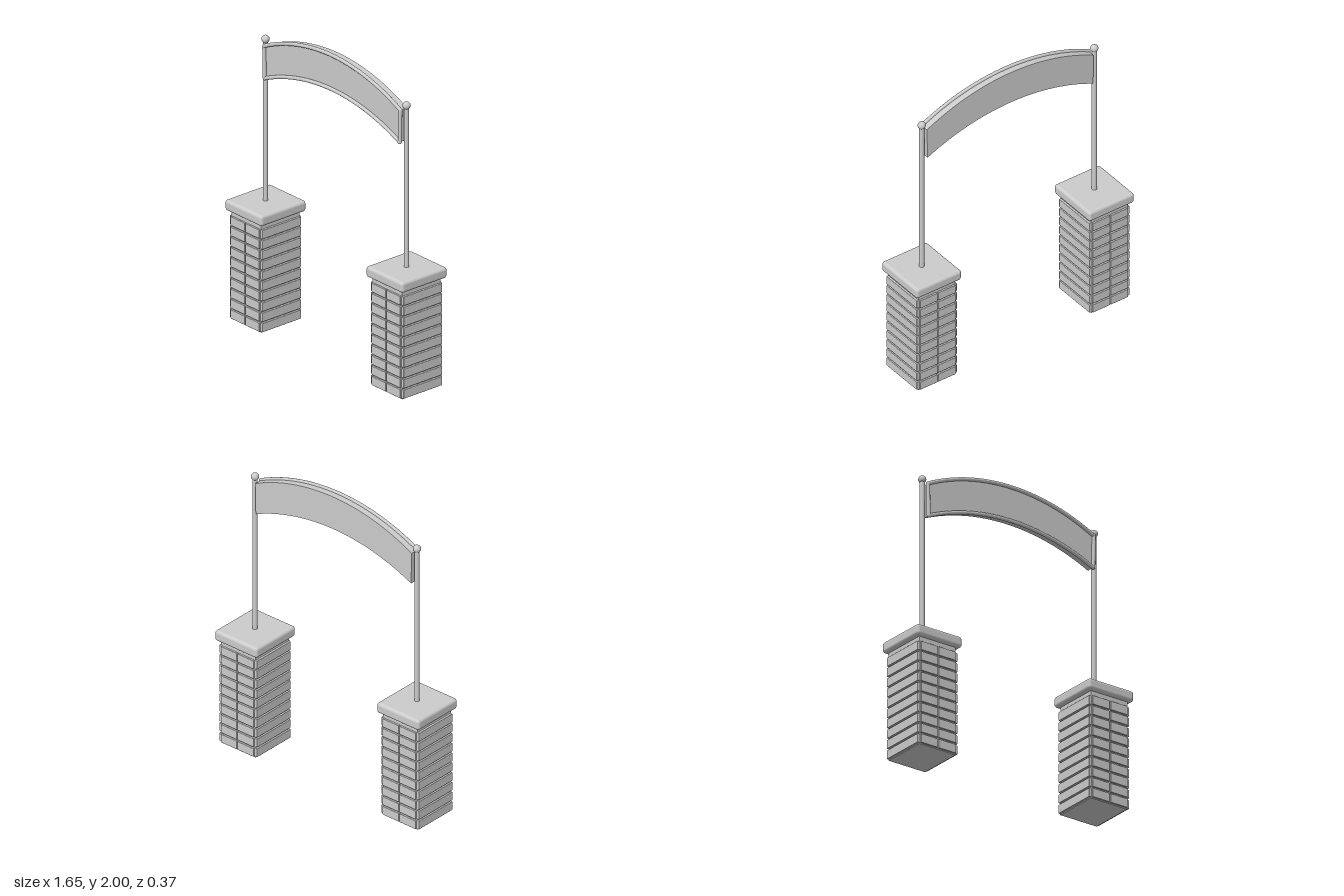
import * as THREE from 'three';
import { RoundedBoxGeometry } from 'three/addons/geometries/RoundedBoxGeometry.js';

const stone = new THREE.MeshStandardMaterial({ color: 0xcccccc });
stone.name = 'light grey';

function add(parent, name, geometry, x = 0, y = 0, z = 0) {
  const mesh = new THREE.Mesh(geometry, stone);
  mesh.name = name;
  mesh.position.set(x, y, z);
  parent.add(mesh);
  return mesh;
}

// Points of a circular arc over the half-width, with its crown at height top
function arcPoints(half, top, sag, steps = 32) {
  const radius = (half * half + sag * sag) / (2 * sag);
  const limit = Math.asin(half / radius);
  return Array.from({ length: steps + 1 }, (_, i) => {
    const a = -limit + (2 * limit * i) / steps;
    return new THREE.Vector3(radius * Math.sin(a), top - radius * (1 - Math.cos(a)), 0);
  });
}

// Brick pillar with a rounded cap stone, a pole and a ball finial
function createPillar() {
  const pillar = new THREE.Group();
  add(pillar, 'pillarCore', new THREE.BoxGeometry(0.276, 0.73, 0.31), 0, 0.365, 0);

  const rows = 10, pitch = 0.069, height = 0.06;
  const frontBrick = new RoundedBoxGeometry(0.13, height, 0.03, 1, 0.004);
  const sideBrick = new RoundedBoxGeometry(0.03, height, 0.312, 1, 0.004);
  for (let i = 0; i < rows; i++) {
    const y = 0.036 + i * pitch;
    for (const s of [-1, 1]) {
      add(pillar, 'sideBrick', sideBrick, s * 0.137, y, 0);
      for (const column of [-1, 1]) {
        add(pillar, 'frontBrick', frontBrick, column * 0.068, y, s * 0.152);
      }
    }
  }

  add(pillar, 'capStone', new RoundedBoxGeometry(0.342, 0.072, 0.366, 4, 0.02), 0, 0.756, 0);
  add(pillar, 'pole', new THREE.CylinderGeometry(0.016, 0.016, 1.08, 24), 0, 1.32, 0);
  add(pillar, 'finial', new THREE.SphereGeometry(0.025, 24, 16), 0, 1.867, 0);
  return pillar;
}

// Arched sign panel with a rounded frame standing proud of its front
function createSign() {
  const sign = new THREE.Group();
  const upper = arcPoints(0.63, 1.987, 0.151);
  const lower = arcPoints(0.625, 1.76, 0.139);

  const outline = new THREE.Shape([...upper, ...lower.slice().reverse()]
    .map((p) => new THREE.Vector2(p.x, p.y)));
  const panel = new THREE.ExtrudeGeometry(outline, { depth: 0.048, bevelEnabled: false });
  add(sign, 'signPanel', panel, 0, 0, -0.024);

  const r = 0.012, z = 0.03;
  const rail = (name, points, steps) => add(sign, name,
    new THREE.TubeGeometry(new THREE.CatmullRomCurve3(points), steps, r, 12), 0, 0, z);
  rail('topRail', upper, 64);
  rail('bottomRail', lower, 64);
  for (const i of [0, upper.length - 1]) {
    rail('endRail', [upper[i], lower[i]], 1);
    for (const p of [upper[i], lower[i]]) {
      add(sign, 'frameCorner', new THREE.SphereGeometry(r, 12, 8), p.x, p.y, z);
    }
  }
  return sign;
}

export function createModel() {
  const model = new THREE.Group();
  model.name = 'archedGateway';
  for (const side of [-1, 1]) {
    const pillar = createPillar();
    pillar.name = side > 0 ? 'leftPillar' : 'rightPillar';
    pillar.position.x = side * 0.652;
    model.add(pillar);
  }
  const sign = createSign();
  sign.name = 'archedSign';
  model.add(sign);
  return model;
}
